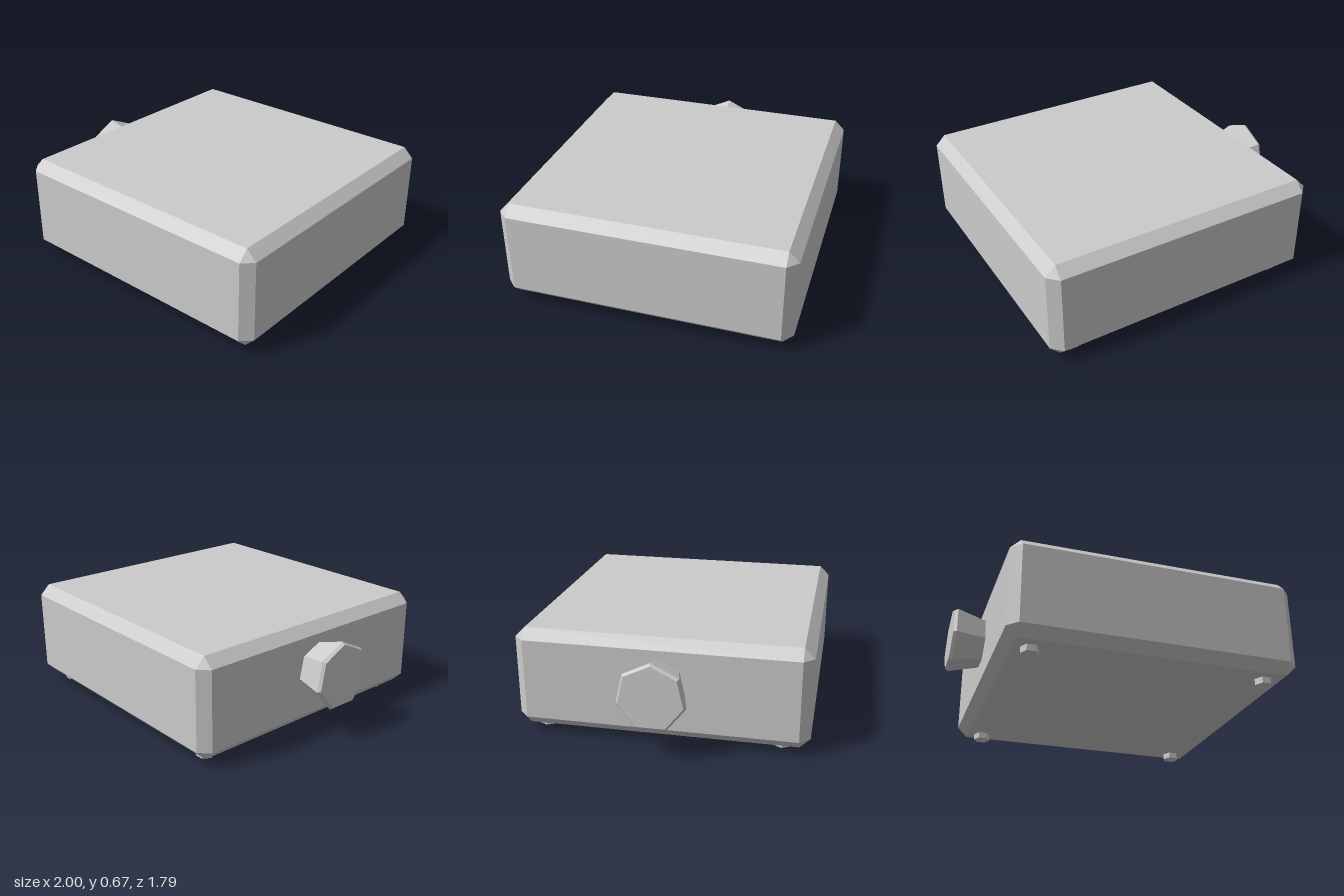
import * as THREE from 'three';
import { ConvexGeometry } from 'three/addons/geometries/ConvexGeometry.js';

const material = new THREE.MeshStandardMaterial({ color: 0xcccccc, flatShading: true });

// Box with every edge chamfered by c: three points around each corner
function chamferedBox(w, h, d, c) {
  const points = [];
  for (const sx of [-1, 1]) for (const sy of [-1, 1]) for (const sz of [-1, 1]) {
    const x = w / 2, y = h / 2, z = d / 2;
    points.push(
      new THREE.Vector3(sx * x, sy * (y - c), sz * (z - c)),
      new THREE.Vector3(sx * (x - c), sy * y, sz * (z - c)),
      new THREE.Vector3(sx * (x - c), sy * (y - c), sz * z)
    );
  }
  return new ConvexGeometry(points);
}

export function createModel() {
  const model = new THREE.Group();
  model.name = 'chamferedCase';

  const add = (name, geometry, x, y, z) => {
    const mesh = new THREE.Mesh(geometry, material);
    mesh.name = name;
    mesh.position.set(x, y, z);
    model.add(mesh);
    return mesh;
  };

  // Main body
  add('body', chamferedBox(1.79, 0.63, 1.79, 0.063), 0.105, 0.355, 0);

  // Seven-sided flared knob on the -x side, tilted slightly upward
  const profile = [[0, -0.04], [0.15, -0.04], [0.16, 0], [0.212, 0.187], [0.198, 0.206], [0, 0.206]]
    .map(([r, y]) => new THREE.Vector2(r, y));
  const knob = add('knob', new THREE.LatheGeometry(profile, 7, Math.PI / 2), -0.79, 0.39, 0);
  knob.rotation.z = Math.PI / 2 - 0.027;

  // Four hexagonal feet
  const footGeometry = new THREE.CylinderGeometry(0.055, 0.055, 0.06, 6, 1, false, Math.PI / 2);
  for (const [side, x] of [['Right', -0.627], ['Left', 0.83]]) {
    for (const [end, z] of [['front', 0.724], ['back', -0.753]]) {
      add(end + side + 'Foot', footGeometry, x, 0.03, z);
    }
  }
  return model;
}
